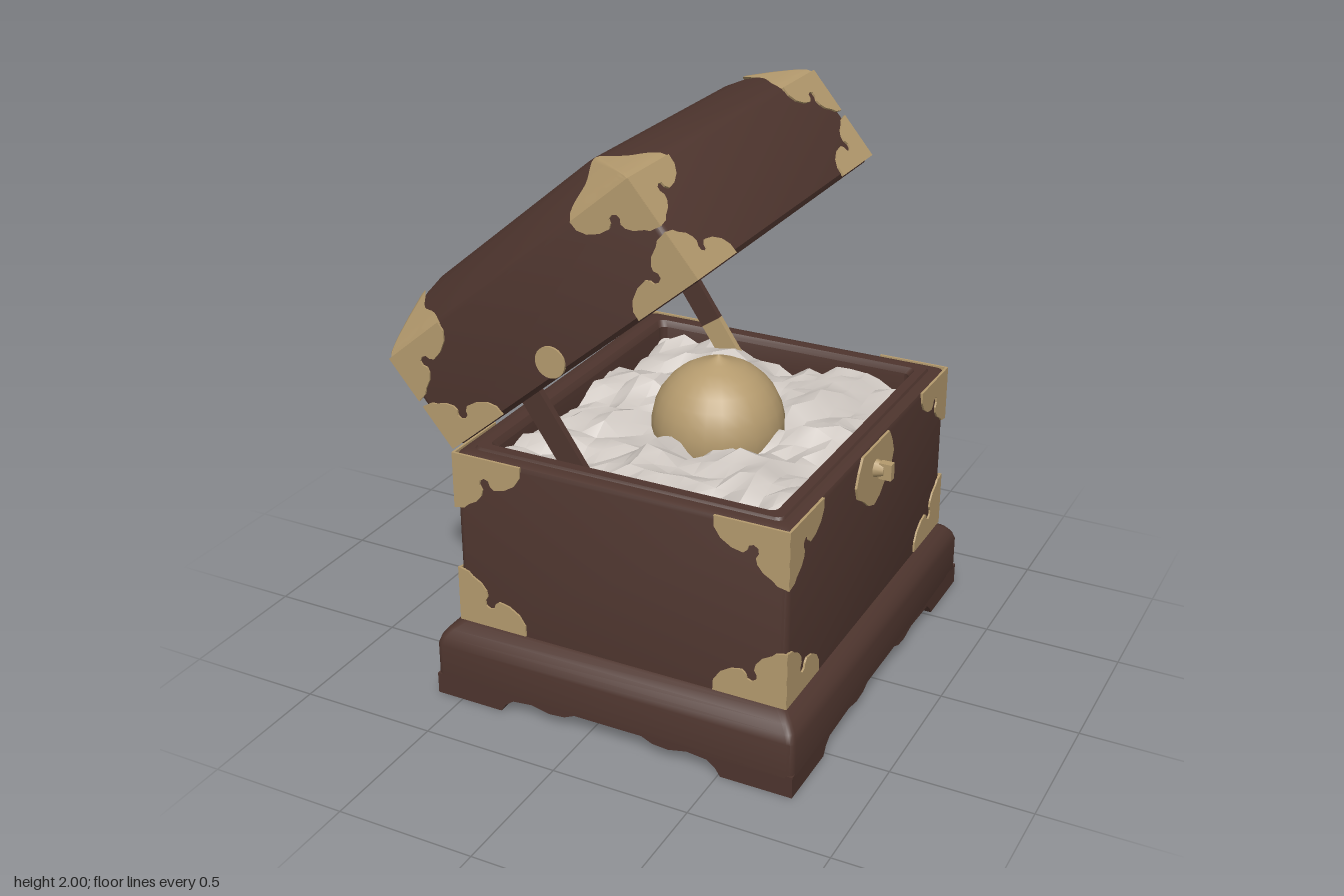
import * as THREE from 'three';
import { toCreasedNormals } from 'three/addons/utils/BufferGeometryUtils.js';

const wood = new THREE.MeshStandardMaterial({ color: 0x4e352e });
wood.name = 'dark wood';
const brass = new THREE.MeshStandardMaterial({ color: 0xb59b6e, side: THREE.DoubleSide });
brass.name = 'brass';
const cloth = new THREE.MeshStandardMaterial({ color: 0xcdc6c0, side: THREE.DoubleSide });
cloth.name = 'pale cloth';

function add(parent, name, geometry, material, x = 0, y = 0, z = 0) {
  const mesh = new THREE.Mesh(geometry, material);
  mesh.name = name;
  mesh.position.set(x, y, z);
  parent.add(mesh);
  return mesh;
}

// Rounded rectangles lofted along a profile of [inset, y]; a null inset closes to the centre.
function loft(profile, w, d, r = 0.025) {
  const rings = profile.map(([inset, y]) => {
    const ring = [];
    [[1, 1], [-1, 1], [-1, -1], [1, -1]].forEach(([sx, sz], q) => {
      for (let k = 0; k <= 3; k++) {
        const a = (q + k / 3) * Math.PI / 2;
        ring.push(inset === null ? [0, y, 0] : [
          sx * (w / 2 - inset - r) + r * Math.cos(a), y,
          sz * (d / 2 - inset - r) + r * Math.sin(a)]);
      }
    });
    return ring;
  });
  const pos = [];
  for (let i = 0; i < rings.length - 1; i++) {
    const n = rings[i].length;
    for (let j = 0; j < n; j++) {
      const a = rings[i][j], b = rings[i][(j + 1) % n];
      const c = rings[i + 1][j], e = rings[i + 1][(j + 1) % n];
      if (profile[i][0] !== null) pos.push(...a, ...c, ...b);
      if (profile[i + 1][0] !== null) pos.push(...b, ...c, ...e);
    }
  }
  const g = new THREE.BufferGeometry();
  g.setAttribute('position', new THREE.Float32BufferAttribute(pos, 3));
  return toCreasedNormals(g, 0.65);
}

// Calls build(group, width) for each of four upright sides, local +z pointing outward.
function fourSides(parent, w, d, name, build) {
  for (let i = 0; i < 4; i++) {
    const side = new THREE.Group();
    side.name = name;
    side.rotation.y = i * Math.PI / 2;
    const out = (i % 2 ? w : d) / 2;
    side.position.set(Math.sin(side.rotation.y) * out, 0, Math.cos(side.rotation.y) * out);
    build(side, i % 2 ? d : w);
    parent.add(side);
  }
}

function plate(points, depth) {
  const shape = new THREE.Shape(points.map(([x, y]) => new THREE.Vector2(x, y)));
  return new THREE.ExtrudeGeometry(shape, { depth, bevelEnabled: false });
}

// Scalloped brass fittings in the corners of one face
const fitting = [[-0.006, 0], [0.26, 0], [0.258, 0.04], [0.235, 0.075], [0.195, 0.1], [0.155, 0.108],
  [0.14, 0.095], [0.135, 0.078], [0.118, 0.072], [0.102, 0.082], [0.1, 0.1], [0.11, 0.118],
  [0.105, 0.14], [0.085, 0.165], [0.05, 0.185], [0.035, 0.2], [-0.006, 0.208]];
function cornerFittings(side, width, y0, y1, scaleY) {
  for (const sx of [1, -1]) for (const top of [true, false]) {
    const pts = fitting.map(([x, y]) => [sx * (width / 2 - x),
      top ? y1 - y * scaleY : y0 + y * scaleY]);
    add(side, 'cornerFitting', plate(pts, 0.009), brass, 0, 0, -0.002);
  }
}

function createModel() {
  const model = new THREE.Group();
  model.name = 'openChest';

  // Plinth with scalloped aprons and block feet
  const plinth = new THREE.Group();
  plinth.name = 'plinth';
  plinth.position.x = 0.085;
  model.add(plinth);
  const PW = 1.37, PD = 1.56;
  add(plinth, 'moulding', loft([[null, 0.07], [0, 0.07], [0, 0.2], [0.01, 0.23], [0.03, 0.255],
    [0.06, 0.275], [0.08, 0.285], [null, 0.285]], PW, PD), wood);
  fourSides(plinth, PW, PD, 'apronSide', (side, width) => {
    const L = width / 2;
    const half = [[L, 0.08], [L, 0], [L - 0.26, 0], [L - 0.28, 0.03], [L - 0.31, 0.052],
      [0.3, 0.06], [0.23, 0.045], [0.17, 0.05], [0.13, 0.068]];
    const other = half.map(([x, y]) => [-x, y]).reverse();
    add(side, 'apron', plate([...half, ...other], 0.1), wood, 0, 0, -0.1);
  });
  for (const sx of [1, -1]) for (const sz of [1, -1]) {
    add(plinth, 'foot', new THREE.BoxGeometry(0.25, 0.08, 0.25), wood,
      sx * (PW / 2 - 0.13), 0.041, sz * (PD / 2 - 0.13));
  }

  // Hollow body with a raised lip
  const body = new THREE.Group();
  body.name = 'body';
  body.position.x = 0.09;
  model.add(body);
  const BW = 1.235, BD = 1.415;
  add(body, 'box', loft([[null, 0.27], [0, 0.27], [0, 0.915], [0.006, 0.93], [0.02, 0.937],
    [0.045, 0.937], [0.05, 0.946], [0.085, 0.946], [0.1, 0.925], [0.1, 0.78], [null, 0.78]],
  BW, BD), wood);
  fourSides(body, BW, BD, 'bodySide', (side, width) => cornerFittings(side, width, 0.285, 0.935, 1));

  // Lock plate and key on the opening side
  const lock = new THREE.Group();
  lock.name = 'lock';
  lock.position.set(0.705, 0.83, 0);
  lock.rotation.y = Math.PI / 2;
  model.add(lock);
  add(lock, 'lockPlate', plate([[-0.12, 0.1], [0.12, 0.1], [0.15, 0.055], [0.17, 0.005], [0.15, -0.045],
    [0.1, -0.075], [0.05, -0.115], [0, -0.132], [-0.05, -0.115], [-0.1, -0.075], [-0.15, -0.045],
    [-0.17, 0.005], [-0.15, 0.055]], 0.009), brass, 0, 0, 0.002);
  const stem = new THREE.CylinderGeometry(0.022, 0.035, 0.04, 10).rotateX(Math.PI / 2);
  add(lock, 'keyStem', stem, brass, 0, 0.01, 0.025);
  add(lock, 'keyGrip', new THREE.BoxGeometry(0.03, 0.06, 0.045), brass, 0, 0.008, 0.05);

  // Crumpled lining, folds radiating from the orb
  const lining = new THREE.PlaneGeometry(1.05, 1.23, 18, 20).rotateX(-Math.PI / 2);
  const p = lining.attributes.position;
  for (let i = 0; i < p.count; i++) {
    const x = p.getX(i), z = p.getZ(i);
    const dist = Math.hypot(x - 0.03, z), a = Math.atan2(z, x - 0.03);
    const fold = Math.sin(a * 7 + dist * 5) * 0.03 * Math.min(1, dist * 3);
    const crumple = 0.018 * Math.sin(i * 12.9898 + Math.sin(i * 4.7) * 3);
    p.setY(i, 0.87 + 0.03 * Math.exp(-Math.pow((dist - 0.38) / 0.12, 2)) + fold + crumple);
  }
  add(model, 'lining', toCreasedNormals(lining.toNonIndexed(), 0.5), cloth, 0.085, 0, 0);

  // Orb with a small pointed tip
  const orb = [];
  for (let i = 0; i <= 14; i++) {
    const a = -Math.PI / 2 + (i / 14) * 2.95;
    orb.push(new THREE.Vector2(Math.max(0, 0.238 * Math.cos(a)), 0.238 * Math.sin(a)));
  }
  orb.push(new THREE.Vector2(0.02, 0.247), new THREE.Vector2(0, 0.26));
  add(model, 'orb', new THREE.LatheGeometry(orb, 24), brass, 0.115, 0.885, 0);

  // Stays holding the lid, one with a brass lower end
  for (const s of [1, -1]) {
    const stay = new THREE.Group();
    stay.name = 'stay';
    stay.position.set(-0.195, 1.0, s * 0.578);
    stay.rotation.z = 0.594;
    model.add(stay);
    add(stay, 'stayUpper', new THREE.BoxGeometry(0.085, 0.25, 0.026), wood, 0, 0.125, 0);
    add(stay, 'stayLower', new THREE.BoxGeometry(0.085, 0.23, 0.026), s > 0 ? wood : brass, 0, -0.115, 0);
  }

  // Lid tilted open about the hinge edge
  const hinge = new THREE.Group();
  hinge.name = 'lidHinge';
  hinge.position.set(-0.53, 0.94, 0);
  hinge.rotation.z = 0.696;
  model.add(hinge);
  const lid = new THREE.Group();
  lid.name = 'lid';
  lid.position.x = 0.595;
  hinge.add(lid);
  const LW = 1.19, LD = 1.385;
  const slope = [[0, 0.36], [0.012, 0.383], [0.04, 0.408], [0.09, 0.445], [0.15, 0.485], [0.2, 0.503], [0.3, 0.51]];
  add(lid, 'lidShell', loft([[null, 0.4], [0.16, 0.4], [0.1, 0.34], [0.1, 0.01], [0.09, 0], [0.015, 0],
    [0, 0.015], ...slope, [null, 0.512]], LW, LD), wood);
  fourSides(lid, LW, LD, 'lidSide', (side, width) => cornerFittings(side, width, 0.004, 0.375, 0.84));

  // Brass caps that follow the sloping top corners
  const heightAt = (inset) => {
    let k = 0;
    while (k < slope.length - 2 && inset > slope[k + 1][0]) k++;
    const [a, b] = [slope[k], slope[k + 1]];
    return a[1] + (b[1] - a[1]) * Math.min(1, (inset - a[0]) / (b[0] - a[0]));
  };
  for (const sx of [1, -1]) for (const sz of [1, -1]) {
    const cap = new THREE.PlaneGeometry(1, 1, 24, 14);
    const q = cap.attributes.position;
    for (let i = 0; i < q.count; i++) {
      const t = (q.getX(i) + 0.5) * Math.PI / 2;
      const rho = (q.getY(i) + 0.5) * (0.25 - 0.04 * Math.sin(2 * t) + 0.018 * Math.cos(8 * t));
      const a = rho * Math.cos(t), b = rho * Math.sin(t);
      q.setXYZ(i, sx * (LW / 2 + 0.003 - a), heightAt(Math.min(a, b)) + 0.008, sz * (LD / 2 + 0.003 - b));
    }
    if (sx * sz > 0) cap.setIndex([...cap.index.array].reverse());
    cap.computeVertexNormals();
    add(lid, 'topCornerCap', cap, brass);
  }

  // Round studs at the middle of the lid's ends
  for (const s of [1, -1]) {
    const stud = new THREE.CylinderGeometry(0.055, 0.055, 0.012, 20).rotateX(Math.PI / 2);
    add(lid, 'stud', stud, brass, -0.046, 0.056, s * (LD / 2 + 0.002));
  }

  return model;
}

export { createModel };
